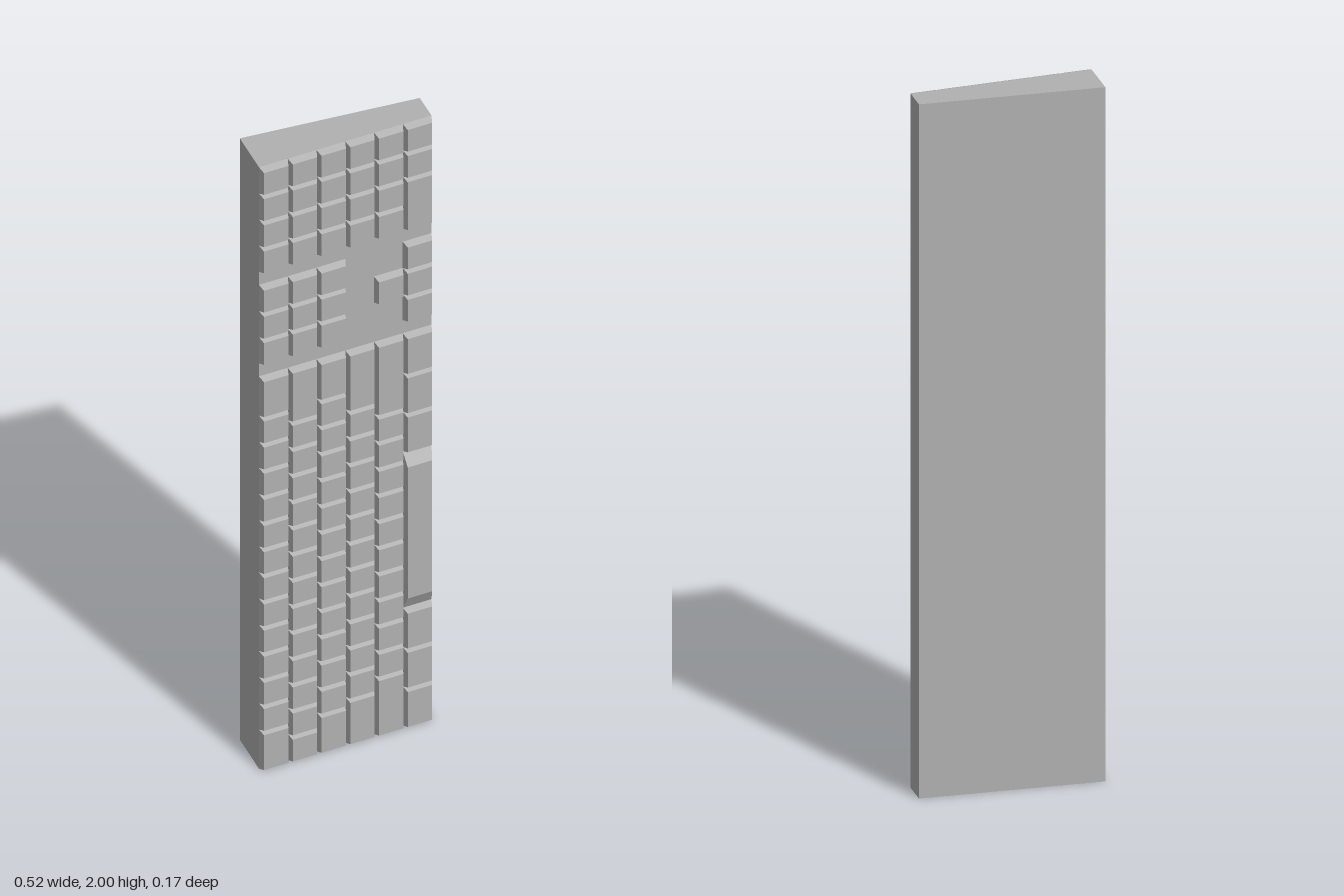
import * as THREE from 'three';

const U = 2 / 23;          // one key unit
const BACK = -0.084;       // flat underside of the case
const KEY_H = 0.022;       // key height
const INSET = 0.0065;      // taper of each key side

// sloping deck of the case, thick at -x and thin at +x
const deck = (x) => 0.0315 - 0.109 * x;

export function createModel() {
  const group = new THREE.Group();
  const grey = new THREE.MeshStandardMaterial({ color: 0xb0b0b0 });
  grey.name = 'grey plastic';

  // box whose corners are moved by a rule (signs of the corner -> position)
  const shapedBox = (name, rule) => {
    const geo = new THREE.BoxGeometry(2, 2, 2);
    const p = geo.attributes.position;
    for (let i = 0; i < p.count; i++) {
      p.setXYZ(i, ...rule(p.getX(i), p.getY(i), p.getZ(i) > 0));
    }
    geo.computeVertexNormals();
    const mesh = new THREE.Mesh(geo, grey);
    mesh.name = name;
    group.add(mesh);
  };

  // wedge-shaped case
  shapedBox('case', (sx, sy, front) => {
    const x = sx * 3 * U;
    return [x, 1 + sy, front ? deck(x) : BACK];
  });

  // tapered key in a column, from start to start + size in key units
  const addKey = (name, col, start, size, endInset = INSET + 0.001) => {
    const cx = (col - 2.5) * U;
    const cy = (start + size / 2) * U;
    shapedBox(name, (sx, sy, top) => {
      const x = cx + sx * (U / 2 - (top ? INSET : 0));
      const y = cy + sy * (size * U / 2 - (top ? endInset : 0));
      return [x, y, deck(x) + (top ? KEY_H : 0)];
    });
  };

  // main block: first key, count of single keys, last key
  [[1.5, 12, 1.5], [1, 12, 2], [1.5, 12, 1.5], [1.75, 11, 2.25], [2.25, 10, 2.75]]
    .forEach(([first, count, last], col) => {
      addKey('wideKey', col, 0, first);
      for (let i = 0; i < count; i++) addKey('mainKey', col, first + i, 1);
      addKey('wideKey', col, first + count, last);
    });

  // bottom row with the long bar
  for (const start of [0, 1.5, 3, 10.5, 12, 13.5]) addKey('modifierKey', 5, start, 1.5);
  addKey('spaceBar', 5, 4.5, 6, 0.043);

  // navigation block
  for (const col of [0, 1, 2, 5]) {
    for (let i = 0; i < 3; i++) addKey('navigationKey', col, 15.5 + i, 1);
  }
  addKey('navigationKey', 4, 16.5, 1);

  // number pad, with one double key
  for (let col = 0; col < 6; col++) {
    for (let i = col === 5 ? 2 : 0; i < 4; i++) addKey('numberPadKey', col, 19 + i, 1);
  }
  addKey('doubleNumberPadKey', 5, 19, 2);

  return group;
}
